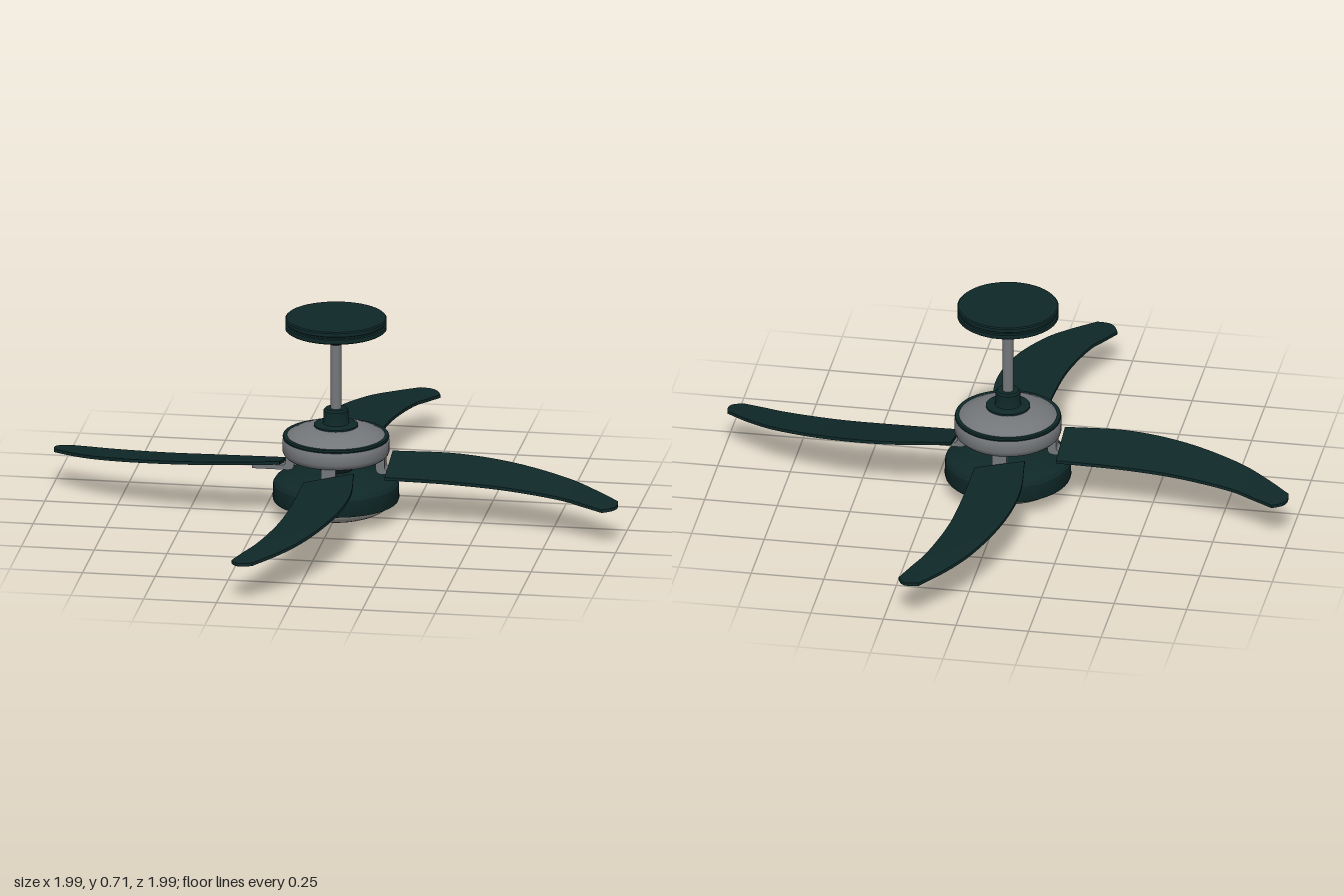
import * as THREE from 'three';
import { toCreasedNormals } from 'three/addons/utils/BufferGeometryUtils.js';

export function createModel() {
  const fan = new THREE.Group();
  fan.name = 'ceilingFan';

  const mat = (name, color) => {
    const m = new THREE.MeshStandardMaterial({ color });
    m.name = name;
    return m;
  };
  const green = mat('darkGreen', 0x0f2828);
  const metal = mat('greyMetal', 0x74777a);
  const glass = mat('frostedGlass', 0xa3a3a0);

  const add = (parent, name, geometry, material) => {
    const mesh = new THREE.Mesh(geometry, material);
    mesh.name = name;
    parent.add(mesh);
    return mesh;
  };

  // Turned part from [radius, height] pairs listed bottom to top
  const turned = (name, profile, material) => {
    const pts = profile.map(([r, y]) => new THREE.Vector2(r, y));
    add(fan, name, toCreasedNormals(new THREE.LatheGeometry(pts, 48), 0.5), material);
  };

  // Ceiling mount and hanging rod
  turned('canopy', [[0, 0.648], [0.045, 0.648], [0.166, 0.664], [0.172, 0.668], [0.172, 0.682],
    [0.167, 0.685], [0.167, 0.69], [0.172, 0.693], [0.172, 0.705], [0.168, 0.709], [0, 0.709]], green);
  turned('hangerBall', [[0, 0.615], [0.024, 0.615], [0.034, 0.625], [0.04, 0.638], [0.042, 0.655], [0, 0.655]], green);
  turned('rod', [[0.019, 0.36], [0.019, 0.63]], metal);
  turned('rodCollar', [[0.075, 0.315], [0.075, 0.328], [0.045, 0.332], [0.042, 0.34],
    [0.042, 0.378], [0.036, 0.385], [0, 0.385]], green);

  // Motor
  turned('motorDome', [[0.172, 0.284], [0.166, 0.29], [0.14, 0.304], [0.11, 0.315], [0.075, 0.322], [0, 0.322]], metal);
  turned('motorTrimRing', [[0.165, 0.279], [0.179, 0.279], [0.181, 0.284], [0.179, 0.29], [0.165, 0.29]], green);
  turned('motorBody', [[0, 0.212], [0.155, 0.212], [0.17, 0.217], [0.178, 0.225], [0.182, 0.236],
    [0.182, 0.268], [0.176, 0.28], [0.16, 0.284], [0, 0.284]], metal);

  // Light fitting
  turned('neck', [[0.05, 0.15], [0.056, 0.168], [0.075, 0.186], [0.107, 0.208], [0.107, 0.214], [0, 0.214]], green);
  turned('lightHousing', [[0, 0.062], [0.213, 0.062], [0.215, 0.068], [0.213, 0.12], [0.205, 0.132],
    [0.17, 0.148], [0.13, 0.161], [0.1, 0.167], [0, 0.167]], green);
  const bowl = [];
  for (let i = 0; i <= 10; i++) {
    const a = (i / 10) * Math.PI / 2;
    bowl.push([0.192 * Math.sin(a), 0.064 * (1 - Math.cos(a))]);
  }
  turned('glassBowl', bowl, glass);

  // Curved, pitched blade stretched between its high and low edges
  const edge = (pts) => new THREE.CatmullRomCurve3(pts.map((p) => new THREE.Vector3(...p)));
  const highEdge = edge([[0.18, 0.207, -0.09], [0.4, 0.201, -0.112], [0.6, 0.187, -0.085],
    [0.8, 0.165, -0.01], [0.9, 0.151, 0.055], [0.99, 0.139, 0.13]]);
  const lowEdge = edge([[0.18, 0.167, 0.083], [0.4, 0.164, 0.085], [0.6, 0.157, 0.1],
    [0.8, 0.146, 0.145], [0.87, 0.139, 0.175], [0.945, 0.131, 0.207]]);
  const bladeGeo = new THREE.BoxGeometry(1, 0.011, 1, 28, 1, 8);
  const pos = bladeGeo.attributes.position;
  for (let i = 0; i < pos.count; i++) {
    const u = pos.getX(i) + 0.5, v = pos.getZ(i) + 0.5;
    const p = highEdge.getPoint(u).lerp(lowEdge.getPoint(u), v);
    const tip = 0.02 * Math.pow(u, 12) * Math.sin(Math.PI * v);
    pos.setXYZ(i, p.x + tip, p.y + pos.getY(i), p.z + tip * 0.6);
  }
  bladeGeo.computeVertexNormals();

  // Bent strap holding each blade below the motor
  const strap = new THREE.Shape();
  strap.moveTo(0.14, 0.23);
  strap.lineTo(0.14, 0.185);
  strap.quadraticCurveTo(0.14, 0.163, 0.162, 0.163);
  strap.lineTo(0.285, 0.163);
  strap.lineTo(0.285, 0.179);
  strap.lineTo(0.18, 0.179);
  strap.quadraticCurveTo(0.17, 0.179, 0.17, 0.19);
  strap.lineTo(0.17, 0.23);
  strap.closePath();
  const strapGeo = new THREE.ExtrudeGeometry(strap, { depth: 0.05, bevelEnabled: false, curveSegments: 6 });
  strapGeo.translate(0, 0, -0.025);

  for (let i = 0; i < 4; i++) {
    const arm = new THREE.Group();
    arm.name = 'bladeArm' + (i + 1);
    add(arm, 'blade', bladeGeo, green);
    add(arm, 'bladeBracket', strapGeo, metal);
    arm.rotation.y = i * Math.PI / 2;
    fan.add(arm);
  }
  return fan;
}
